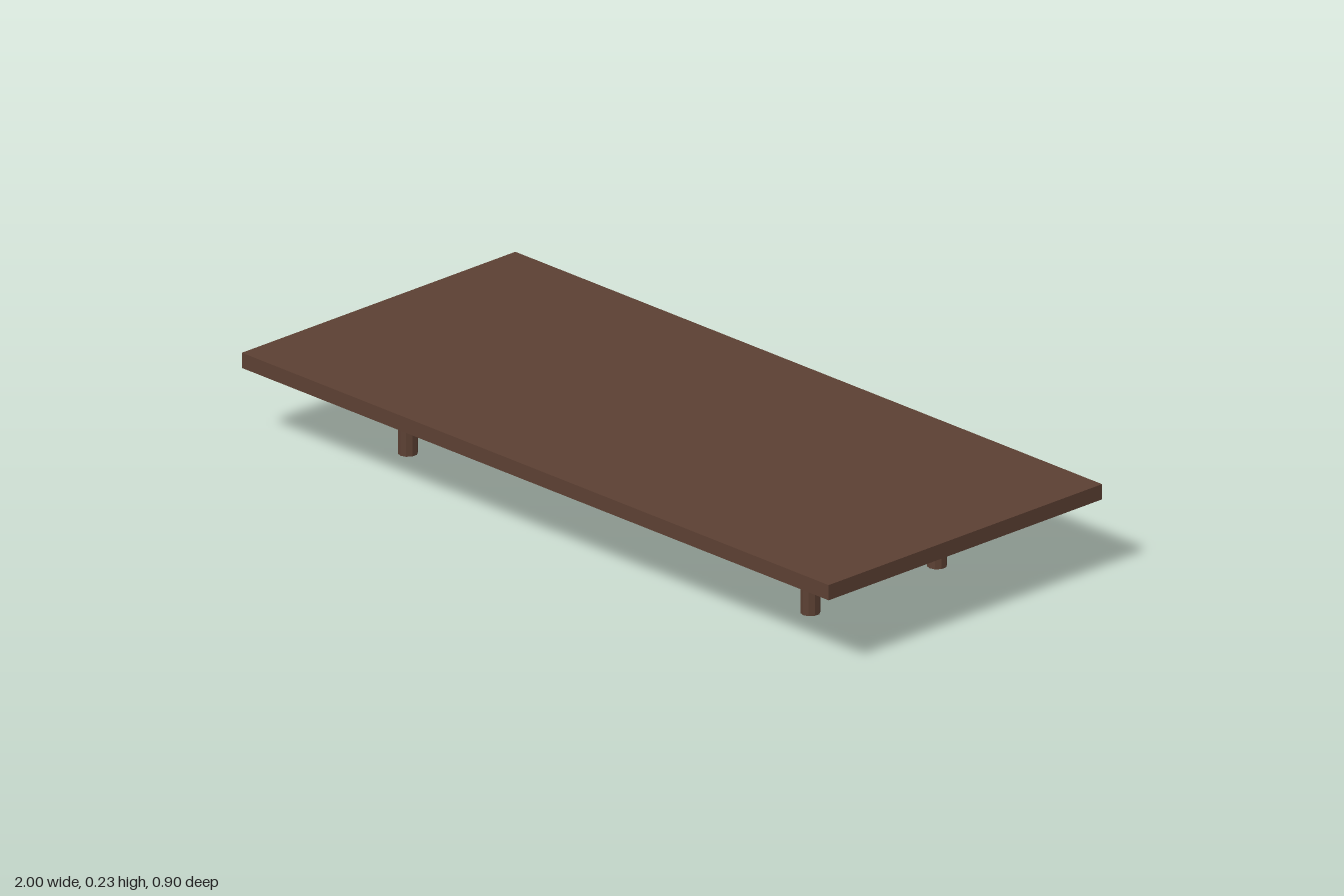
import * as THREE from 'three';

export function createModel() {
  const model = new THREE.Group();
  model.name = 'lowTable';
  const wood = new THREE.MeshStandardMaterial({ color: 0x5c4033, flatShading: true });

  const height = 0.231, thickness = 0.039;
  const legHeight = height - thickness;

  // Flat rectangular top
  const top = new THREE.Mesh(new THREE.BoxGeometry(2, thickness, 0.9), wood);
  top.name = 'tableTop';
  top.position.y = height - thickness / 2;
  model.add(top);

  // Four ten-sided legs, set in from the corners
  const legGeometry = new THREE.CylinderGeometry(0.024, 0.024, legHeight, 10);
  for (const [side, x] of [['Left', 0.69], ['Right', -0.682]]) {
    for (const [end, z] of [['front', 0.211], ['back', -0.206]]) {
      const leg = new THREE.Mesh(legGeometry, wood);
      leg.name = `${end}${side}Leg`;
      leg.position.set(x, legHeight / 2, z);
      model.add(leg);
    }
  }
  return model;
}
